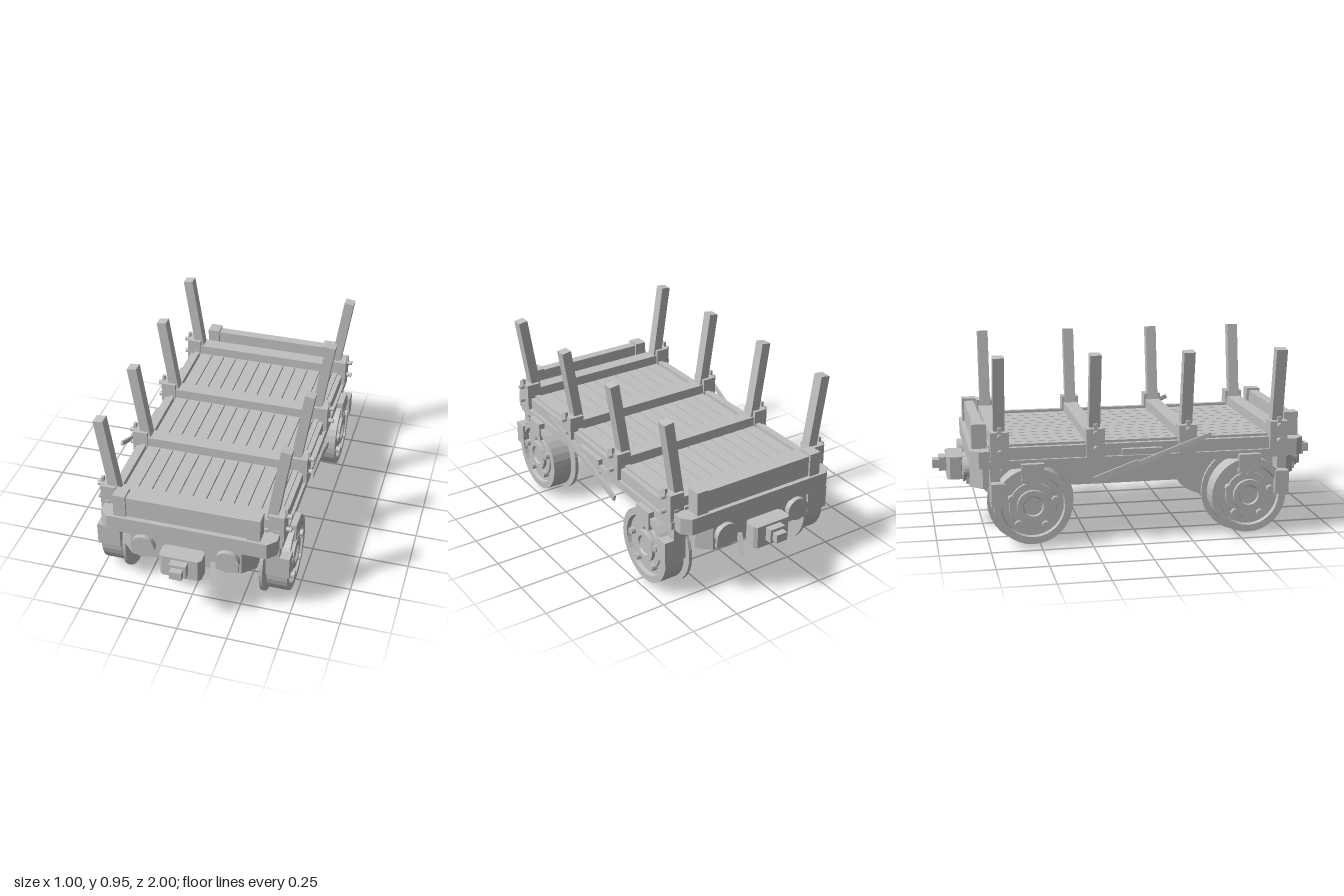
import * as THREE from 'three';

export function createModel() {
  const root = new THREE.Group();
  const grey = new THREE.MeshStandardMaterial({ color: 0xc0c0c0, flatShading: true });
  grey.name = 'plain grey';

  function add(name, geometry, x = 0, y = 0, z = 0) {
    const mesh = new THREE.Mesh(geometry, grey);
    mesh.name = name;
    mesh.position.set(x, y, z);
    root.add(mesh);
    return mesh;
  }
  // Box given by its extents on each axis
  function box(name, [x0, x1], [y0, y1], [z0, z1]) {
    return add(name, new THREE.BoxGeometry(Math.abs(x1 - x0), y1 - y0, Math.abs(z1 - z0)),
      (x0 + x1) / 2, (y0 + y1) / 2, (z0 + z1) / 2);
  }
  // Horizontal slab with chamfered corners
  function slab(name, hx, hz, c, y0, y1, z = 0) {
    const shape = new THREE.Shape([
      [-hx + c, -hz], [hx - c, -hz], [hx, -hz + c], [hx, hz - c],
      [hx - c, hz], [-hx + c, hz], [-hx, hz - c], [-hx, -hz + c],
    ].map(([a, b]) => new THREE.Vector2(a, b)));
    const g = new THREE.ExtrudeGeometry(shape, { depth: y1 - y0, bevelEnabled: false });
    return add(name, g.rotateX(-Math.PI / 2), 0, y0, z);
  }
  // Bar of rectangular section between two points
  function bar(name, a, b, w, h) {
    const p = new THREE.Vector3(...a), q = new THREE.Vector3(...b);
    const mesh = add(name, new THREE.BoxGeometry(w, h, p.distanceTo(q)));
    mesh.position.copy(p).add(q).multiplyScalar(0.5);
    mesh.lookAt(q);
    return mesh;
  }
  const bolt = (name, r, len, x, y, z) =>
    add(name, new THREE.CylinderGeometry(r, r, len, 10).rotateZ(Math.PI / 2), x, y, z);

  // Underframe and deck
  slab('chassis', 0.335, 0.83, 0.06, 0.275, 0.4);
  slab('deckFrame', 0.437, 0.835, 0.04, 0.4, 0.485);
  const planks = 11, pitch = 0.0693;
  for (let i = 0; i < planks; i++) {
    const x = (i - (planks - 1) / 2) * pitch;
    box('deckPlank', [x - 0.032, x + 0.032], [0.48, 0.5], [-0.745, 0.745]);
  }

  // Cross bolsters
  const bolsterZ = [-0.695, -0.23, 0.23, 0.695];
  for (const z of bolsterZ) box('bolster', [-0.4, 0.4], [0.485, 0.55], [z - 0.037, z + 0.037]);

  for (const s of [-1, 1]) {
    // Side curb and rails
    box('sideCurb', [s * 0.387, s * 0.412], [0.48, 0.512], [-0.74, 0.74]);
    box('sideRail', [s * 0.41, s * 0.452], [0.4, 0.44], [-0.745, 0.745]);
    box('upperRail', [s * 0.41, s * 0.437], [0.48, 0.5], [-0.745, 0.745]);

    // Stakes leaning outwards from their pockets
    for (const z of bolsterZ) {
      box('stakePocket', [s * 0.38, s * 0.456], [0.44, 0.58], [z - 0.045, z + 0.045]);
      const stake = add('stake', new THREE.BoxGeometry(0.05, 0.45, 0.055), s * 0.418, 0.722, z);
      stake.rotation.z = -s * 0.15;
      for (const y of [0.485, 0.562]) bolt('pocketBolt', 0.012, 0.03, s * 0.468, y, z);
      box('pocketHook', [s * 0.45, s * 0.463], [0.57, 0.605], [z - 0.01, z + 0.01]);
    }

    // Brake lever with guide
    bar('brakeLever', [s * 0.495, 0.54, 0.335], [s * 0.462, 0.39, -0.05], 0.012, 0.022);
    bar('brakeLeverLink', [s * 0.465, 0.405, -0.02], [s * 0.455, 0.322, -0.24], 0.012, 0.035);
    box('leverGuide', [s * 0.43, s * 0.462], [0.445, 0.475], [-0.1, 0.1]);
    bar('leverStrap', [s * 0.46, 0.47, 0.16], [s * 0.455, 0.4, -0.02], 0.01, 0.015);

    for (const e of [-1, 1]) {
      // Wheel: thin flange, narrow neck, heavy tread, recessed face with hub
      const profile = [
        [0, 0.34], [0.214, 0.34], [0.214, 0.357], [0.05, 0.357], [0.05, 0.372],
        [0.19, 0.372], [0.19, 0.475], [0.155, 0.475], [0.15, 0.455], [0.118, 0.455],
        [0.115, 0.462], [0.08, 0.462], [0.078, 0.478], [0.05, 0.478], [0.045, 0.468], [0, 0.468],
      ].map(([r, x]) => new THREE.Vector2(r, x));
      const wheel = add('wheel', new THREE.LatheGeometry(profile, 32), 0, 0.214, e * 0.54);
      wheel.rotation.z = -s * Math.PI / 2;
      for (let k = 0; k < 5; k++) {
        const a = 0.25 + k * Math.PI * 0.4;
        bolt('wheelBolt', 0.018, 0.035, s * 0.468, 0.214 + 0.112 * Math.sin(a), e * 0.54 + 0.112 * Math.cos(a));
      }
      // Axle guard over the wheel and corner step bracket
      box('axleGuard', [s * 0.43, s * 0.483], [0.33, 0.425], [e * 0.485, e * 0.595]);
      box('cornerHanger', [s * 0.36, s * 0.437], [0.335, 0.4], [e * 0.695, e * 0.742]);
      box('cornerBracket', [s * 0.37, s * 0.487], [0.218, 0.335], [e * 0.672, e * 0.742]);
    }
  }

  for (const e of [-1, 1]) {
    add('axle', new THREE.CylinderGeometry(0.04, 0.04, 0.7, 20).rotateZ(Math.PI / 2), 0, 0.218, e * 0.54);

    // End board with thick end blocks
    box('endBoard', [-0.35, 0.35], [0.485, 0.593], [e * 0.762, e * 0.812]);
    for (const s of [-1, 1]) {
      box('endBoardBlock', [s * 0.3, s * 0.362], [0.485, 0.605], [e * 0.75, e * 0.822]);
      // Round buffer pad and its foot
      add('bufferPad', new THREE.CylinderGeometry(0.059, 0.059, 0.035, 24).rotateX(Math.PI / 2), s * 0.21, 0.35, e * 0.842);
      box('bufferFoot', [s * 0.22, s * 0.262], [0.285, 0.33], [e * 0.82, e * 0.845]);
    }

    // Coupler
    slab('couplerBlock', 0.104, 0.043, 0.015, 0.27, 0.385, e * 0.888);
    box('couplerMount', [-0.07, 0.07], [0.29, 0.37], [e * 0.82, e * 0.86]);
    box('couplerNeck', [-0.042, 0.042], [0.303, 0.373], [e * 0.92, e * 0.968]);
    box('couplerTip', [-0.03, 0.03], [0.315, 0.358], [e * 0.96, e]);
    bar('couplerLever', [0.142, 0.34, e * 0.855], [0.162, 0.245, e * 0.915], 0.024, 0.016);
  }
  return root;
}
